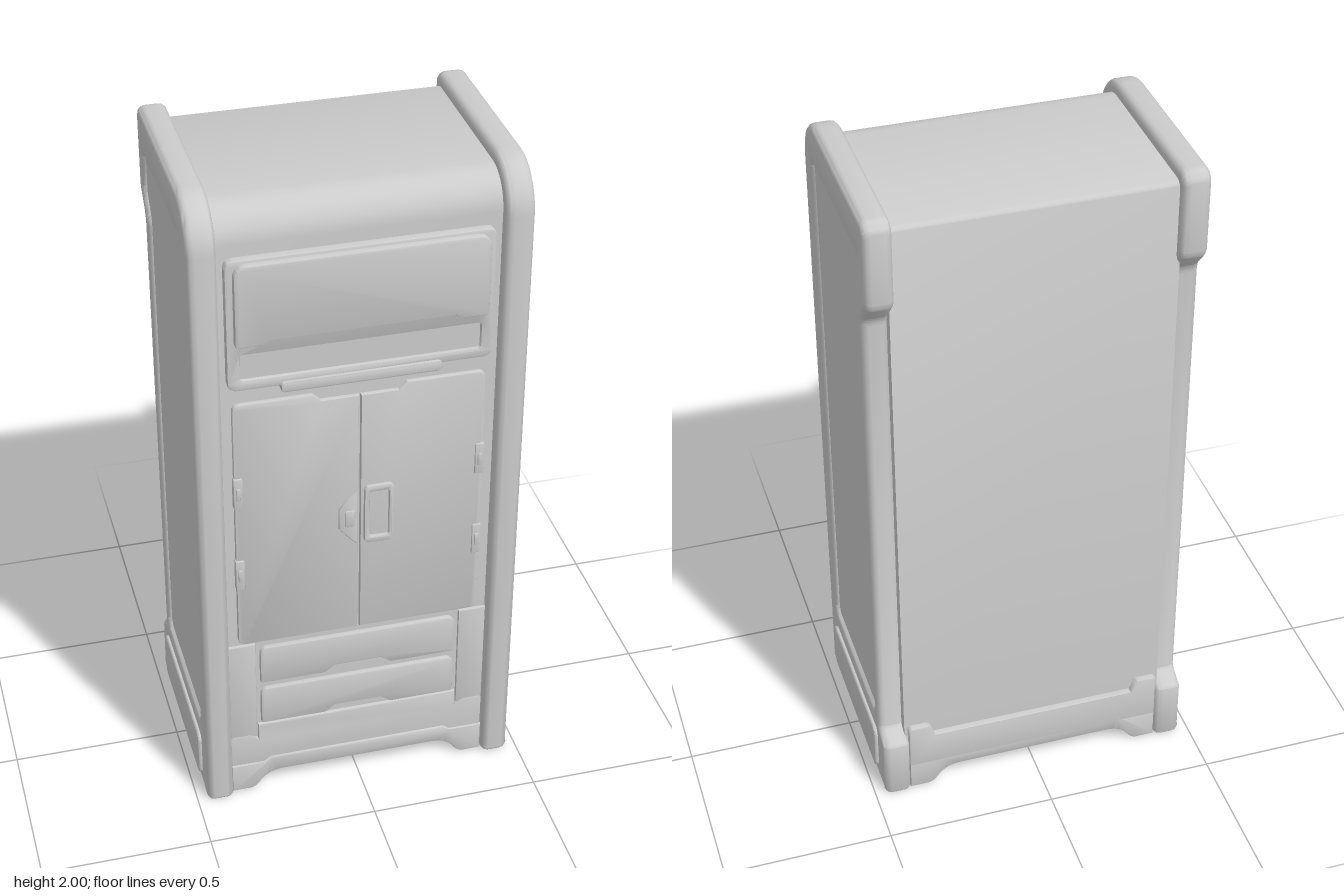
import * as THREE from 'three';
import { toCreasedNormals } from 'three/addons/utils/BufferGeometryUtils.js';

const material = new THREE.MeshStandardMaterial({ color: 0xcccccc });

// Closed outline from corners [x, y, radius]; radius rounds the corner
function outline(corners, Type = THREE.Shape) {
  const path = new Type();
  const n = corners.length;
  corners.forEach(([x, y, r = 0], i) => {
    const p = new THREE.Vector2(x, y);
    const prev = new THREE.Vector2(...corners[(i + n - 1) % n].slice(0, 2));
    const next = new THREE.Vector2(...corners[(i + 1) % n].slice(0, 2));
    const a = prev.sub(p).setLength(r).add(p);
    const b = next.sub(p).setLength(r).add(p);
    if (i === 0) path.moveTo(a.x, a.y);
    else path.lineTo(a.x, a.y);
    if (r > 0) {
      const k = 0.552;
      path.bezierCurveTo(a.x + (x - a.x) * k, a.y + (y - a.y) * k,
        b.x + (x - b.x) * k, b.y + (y - b.y) * k, b.x, b.y);
    }
  });
  path.closePath();
  return path;
}

const rect = (x0, x1, y0, y1, r = 0, Type) =>
  outline([[x0, y0, r], [x1, y0, r], [x1, y1, r], [x0, y1, r]], Type);

// Bevelled extrusion whose full extent runs from d0 to d1
function extrude(shape, d0, d1, bevel, segments = 2) {
  const geo = new THREE.ExtrudeGeometry(shape, {
    depth: d1 - d0 - 2 * bevel, bevelEnabled: bevel > 0, bevelSize: bevel,
    bevelThickness: bevel, bevelOffset: -bevel, bevelSegments: segments, curveSegments: 8,
  });
  geo.translate(0, 0, d0 + bevel);
  return toCreasedNormals(geo, 0.7);
}

export function createModel() {
  const model = new THREE.Group();

  const add = (name, geo, parent = model) => {
    const mesh = new THREE.Mesh(geo, material);
    mesh.name = name;
    parent.add(mesh);
    return mesh;
  };
  // Plate facing front or back, spanning z0..z1
  const plate = (name, shape, z0, z1, bevel = 0.005, parent = model) =>
    add(name, extrude(shape, z0, z1, bevel), parent);
  // Plate facing sideways, drawn in (-z, y), spanning x0..x1
  const sidePlate = (name, shape, x0, x1, bevel, parent = model) =>
    add(name, extrude(shape, x0, x1, bevel, 3).rotateY(Math.PI / 2), parent);

  // Cabinet body with rounded upper front edge
  sidePlate('body', outline([
    [-0.29, 0.07], [0.305, 0.07], [0.305, 1.965, 0.025], [-0.29, 1.965, 0.1],
  ]), -0.4, 0.4, 0);

  // Side walls: thick frame, recessed panel and raised foot panel
  for (const s of [-1, 1]) {
    const side = new THREE.Group();
    side.name = s > 0 ? 'leftSide' : 'rightSide';
    model.add(side);
    const span = (a, b) => (s > 0 ? [a, b] : [-b, -a]);

    const frame = outline([
      [-0.33, 0.005, 0.01], [0.335, 0.005, 0.01], [0.335, 0.195, 0.01], [0.275, 0.225, 0.01],
      [0.275, 1.68, 0.02], [0.335, 1.745, 0.02], [0.335, 2, 0.04], [-0.33, 2, 0.14],
    ]);
    frame.holes.push(outline([
      [-0.24, 0.26, 0.02], [0.22, 0.26, 0.02], [0.22, 1.69, 0.02],
      [0.27, 1.75, 0.02], [0.27, 1.87, 0.02], [-0.24, 1.87, 0.02],
    ], THREE.Path));
    sidePlate('sideFrame', frame, ...span(0.39, 0.47), 0.02, side);
    sidePlate('sidePanel', outline([
      [-0.26, 0.24], [0.24, 0.24], [0.24, 1.69], [0.27, 1.73], [0.27, 1.89], [-0.26, 1.89],
    ]), ...span(0.395, 0.459), 0, side);
    sidePlate('footPanel', rect(-0.255, 0.255, 0.045, 0.2, 0.025),
      ...span(0.44, 0.48), 0.006, side);
  }

  // Base with an arched cut running front to back
  plate('base', outline([
    [-0.39, 0.005], [-0.32, 0.005, 0.015], [-0.285, 0.05, 0.02], [-0.25, 0.062, 0.015],
    [0.25, 0.062, 0.015], [0.285, 0.05, 0.02], [0.32, 0.005, 0.015], [0.39, 0.005],
    [0.39, 0.1], [0.29, 0.1], [0.27, 0.115], [-0.27, 0.115], [-0.29, 0.1], [-0.39, 0.1],
  ]), -0.325, 0.308, 0.006);
  plate('baseFront', outline([
    [-0.39, 0.09], [0.39, 0.09], [0.39, 0.212, 0.01], [0.325, 0.212, 0.01], [0.305, 0.19],
    [0.305, 0.245], [-0.305, 0.245], [-0.305, 0.19], [-0.325, 0.212, 0.01], [-0.39, 0.212, 0.01],
  ]), 0.24, 0.301);
  plate('baseBack', outline([
    [-0.39, 0.09], [0.39, 0.09], [0.39, 0.24, 0.01], [0.325, 0.24, 0.01], [0.31, 0.2],
    [-0.31, 0.2], [-0.325, 0.24, 0.01], [-0.39, 0.24, 0.01],
  ]), -0.325, -0.26);

  // Upper cabinet: frame with a slot, raised hatch and lip
  const upper = rect(-0.37, 0.37, 1.435, 1.83, 0.025);
  upper.holes.push(rect(-0.335, 0.335, 1.465, 1.545, 0.01, THREE.Path));
  plate('upperFrame', upper, 0.26, 0.315);
  plate('slotBack', rect(-0.345, 0.345, 1.455, 1.555), 0.26, 0.303, 0);
  plate('upperHatch', outline([
    [-0.35, 1.578, 0.01], [-0.27, 1.578, 0.01], [-0.255, 1.592], [0.255, 1.592],
    [0.27, 1.578, 0.01], [0.35, 1.578, 0.01], [0.35, 1.822, 0.035], [-0.35, 1.822, 0.035],
  ]), 0.28, 0.335);
  plate('upperLip', rect(-0.225, 0.225, 1.415, 1.448, 0.012), 0.28, 0.323);

  // Double doors, notched at the top centre, with hinges
  for (const s of [-1, 1]) {
    const corners = [
      [s * 0.003, 0.56], [s * 0.358, 0.56, 0.02], [s * 0.358, 1.382, 0.02],
      [s * 0.133, 1.382], [s * 0.11, 1.36], [s * 0.003, 1.36],
    ];
    plate(s > 0 ? 'leftDoor' : 'rightDoor',
      outline(s > 0 ? corners : corners.reverse()), 0.26, 0.304);
    for (const y of [0.765, 1.045]) {
      const x = s * 0.348;
      plate('hinge', rect(x - 0.013, x + 0.013, y, y + 0.1, 0.004), 0.28, 0.31, 0.003);
      plate('hingePin', rect(x - 0.006, x + 0.006, y + 0.03, y + 0.07, 0.003), 0.28, 0.315, 0.003);
    }
  }

  // Door latch: ring handle on one door, tapered lock plate on the other
  const handle = rect(0.012, 0.098, 0.865, 1.06, 0.015);
  handle.holes.push(rect(0.026, 0.084, 0.885, 1.04, 0.01, THREE.Path));
  plate('handle', handle, 0.29, 0.316, 0.004);
  plate('lockPlate', outline([
    [-0.008, 0.865], [-0.008, 1.045], [-0.03, 1.03], [-0.062, 0.99], [-0.062, 0.925], [-0.03, 0.885],
  ]), 0.29, 0.312, 0.004);
  plate('lockButton', rect(-0.045, -0.015, 0.93, 0.985, 0.006), 0.3, 0.316, 0.003);

  // Stiles beside the drawers
  for (const s of [-1, 1]) {
    const x = s * 0.349;
    plate('drawerStile', rect(x - 0.041, x + 0.041, 0.2, 0.55), 0.26, 0.3, 0.004);
  }

  // Drawers with a finger notch in the lower edge
  for (const y of [0.252, 0.405]) {
    plate('drawer', outline([
      [-0.295, y, 0.006], [-0.1, y], [-0.07, y + 0.022], [0.07, y + 0.022], [0.1, y],
      [0.295, y, 0.006], [0.295, y + 0.13, 0.025], [-0.295, y + 0.13, 0.025],
    ]), 0.26, 0.304);
  }

  return model;
}
